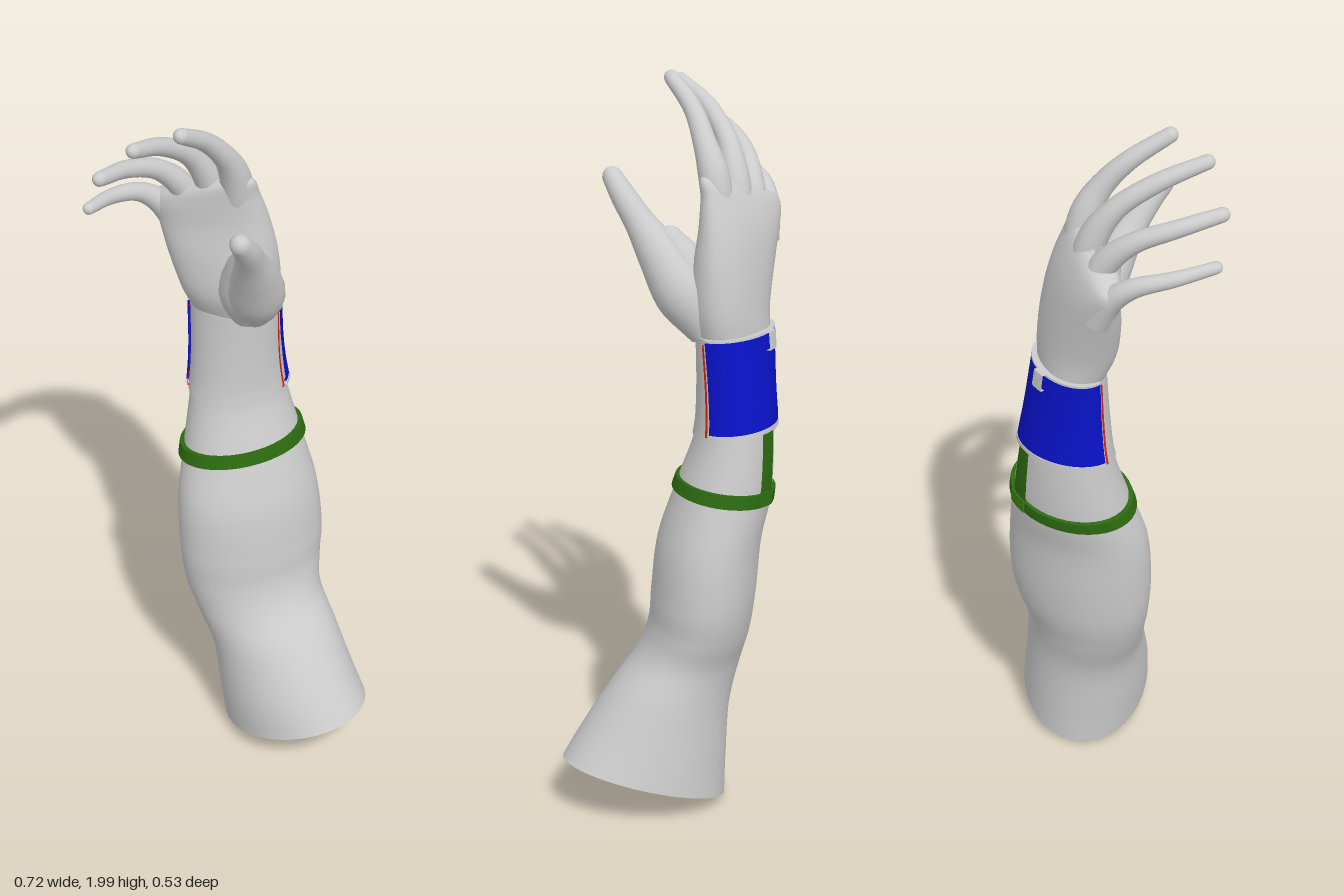
import * as THREE from 'three';
import { toCreasedNormals } from 'three/addons/utils/BufferGeometryUtils.js';

const V = (x, y, z) => new THREE.Vector3(x, y, z);
const paint = (color) => new THREE.MeshStandardMaterial({ color, side: THREE.DoubleSide });
const grey = paint(0xcccccc), blue = paint(0x0a12c8), green = paint(0x2c6a10), red = paint(0xd82010);
const DEG = Math.PI / 180;

// Skin a list of point rows; closed rows wrap round.
function loft(rows, closed = true) {
  const n = rows[0].length, index = [];
  for (let j = 0; j < rows.length - 1; j++) {
    for (let i = 0; i < (closed ? n : n - 1); i++) {
      const a = j * n + i, b = j * n + (i + 1) % n;
      index.push(a, a + n, b, b, a + n, b + n);
    }
  }
  const g = new THREE.BufferGeometry().setFromPoints(rows.flat());
  g.setIndex(index);
  g.computeVertexNormals();
  return g;
}

// Superelliptic section around centre c with half axes u and v.
function section(c, u, v, offset = 0, a0 = 0, a1 = 360, power = 1, n = 40) {
  const full = a1 - a0 === 360, pts = [];
  const bend = (k) => Math.sign(k) * Math.abs(k) ** power;
  const fu = 1 + offset / u.length(), fv = 1 + offset / v.length();
  for (let i = 0; i < (full ? n : n + 1); i++) {
    const a = (a0 + (a1 - a0) * i / n) * DEG;
    pts.push(c.clone().addScaledVector(u, fu * bend(Math.cos(a))).addScaledVector(v, fv * bend(Math.sin(a))));
  }
  return pts;
}

// Smooth body through keys [xRight, yRight, xLeft, yLeft, zFront, zBack, skew, frontDrop];
// skew turns the oval so that its left side lies further back.
function body(keys) {
  const spline = (f) => new THREE.CatmullRomCurve3(keys.map(f), false, 'catmullrom');
  const c = spline(([x0, y0, x1, y1, f, b]) => V((x0 + x1) / 2, (y0 + y1) / 2, (f + b) / 2));
  const u = spline(([x0, y0, x1, y1, f, b, k]) => V((x1 - x0) / 2, (y1 - y0) / 2, -k * (f - b) / 2));
  const v = spline(([, , , , f, b, k, drop = 0]) => V(0, -drop, Math.sqrt(1 - k * k) * (f - b) / 2));
  const last = keys.length - 1;
  return (s, ...rest) => {
    const t = Math.min(s / last, 1);
    return section(c.getPoint(t), u.getPoint(t), v.getPoint(t), ...rest);
  };
}

const steps = (a, b, n) => Array.from({ length: n + 1 }, (_, i) => a + (b - a) * i / n);

const armAt = body([
  [-0.09, 0.005, 0.355, 0.17, 0.155, -0.215, -0.15],
  [-0.10, 0.12, 0.30, 0.25, 0.145, -0.21, -0.08],
  [-0.12, 0.28, 0.225, 0.36, 0.12, -0.205, 0.05],
  [-0.165, 0.40, 0.155, 0.45, 0.108, -0.212, 0.22],
  [-0.195, 0.50, 0.13, 0.53, 0.11, -0.24, 0.32],
  [-0.21, 0.62, 0.125, 0.62, 0.113, -0.257, 0.34],
  [-0.22, 0.77, 0.105, 0.77, 0.10, -0.257, 0.32],
  [-0.232, 0.895, 0.05, 0.94, 0.05, -0.25, 0.24],
  [-0.23, 1.075, 0.008, 1.075, 0.003, -0.233, 0.2, 0.01],
  [-0.226, 1.2, -0.003, 1.2, -0.012, -0.212, 0.17, 0.01],
  [-0.23, 1.352, 0, 1.352, -0.022, -0.189, 0.15, 0.006],
]);

const handAt = body([
  [-0.225, 1.33, -0.005, 1.33, -0.025, -0.186, 0.15],
  [-0.243, 1.41, 0.01, 1.42, 0.005, -0.182, 0.25],
  [-0.275, 1.51, 0.005, 1.53, 0.008, -0.168, 0.33],
  [-0.302, 1.59, -0.012, 1.63, 0.0, -0.147, 0.38],
  [-0.32, 1.64, -0.028, 1.71, 0.0, -0.12, 0.4],
  [-0.305, 1.67, -0.04, 1.765, -0.01, -0.093, 0.35],
  [-0.22, 1.72, -0.12, 1.755, -0.04, -0.06, 0.2],
]);

// Raised strip on the arm between s0 and s1, over the given angles.
function strip(s0, s1, offset, a0 = 0, a1 = 360) {
  const base = offset - 0.014, rows = [armAt(s0, base, a0, a1)];
  for (const s of steps(s0, s1, 8)) rows.push(armAt(s, offset, a0, a1));
  rows.push(armAt(s1, base, a0, a1));
  return toCreasedNormals(loft(rows, a1 - a0 === 360), 0.7);
}

// Tapering finger with a domed tip, along points [x, y, z, radius].
function finger(points) {
  const path = new THREE.CatmullRomCurve3(points.map((p) => V(...p)), false, 'catmullrom');
  const radii = new THREE.CatmullRomCurve3(points.map((p) => V(p[3], 0, 0)), false, 'catmullrom');
  const rows = [];
  const ring = (c, t, r) => {
    const u = V(1, 0, 0).addScaledVector(t, -t.x).normalize();
    const v = u.clone().cross(t);
    rows.push(section(c, u.multiplyScalar(r), v.multiplyScalar(r), 0, 0, 360, 1, 18));
  };
  for (const t of steps(0, 1, 24)) ring(path.getPoint(t), path.getTangent(t), radii.getPoint(t).x);
  const end = path.getPoint(1), dir = path.getTangent(1), r = points.at(-1)[3];
  for (const a of [25, 50, 70, 88]) {
    ring(end.clone().addScaledVector(dir, r * Math.sin(a * DEG)), dir, r * Math.cos(a * DEG));
  }
  return loft(rows);
}

export function createModel() {
  const model = new THREE.Group();
  const add = (name, geometry, material = grey, parent = model) => {
    const mesh = new THREE.Mesh(geometry, material);
    mesh.name = name;
    parent.add(mesh);
  };

  // Arm, open at the upper end
  add('arm', loft(steps(0, 10, 70).map((s) => armAt(s))));

  // Hand, with the ball of the thumb easing into the palm
  const hand = new THREE.Group();
  hand.name = 'hand';
  model.add(hand);
  add('palm', loft(steps(0, 6, 36).map((s) => handAt(s, 0, 0, 360, 0.88))), grey, hand);
  const fingers = {
    thumbBall: [[-0.06, 1.35, -0.085, 0.055], [-0.045, 1.44, -0.05, 0.072], [-0.02, 1.53, -0.015, 0.056],
      [0.002, 1.59, 0.015, 0.036]],
    thumb: [[-0.04, 1.35, -0.085, 0.045], [-0.003, 1.45, -0.035, 0.075], [0.028, 1.55, 0.025, 0.06],
      [0.052, 1.63, 0.08, 0.041], [0.068, 1.69, 0.125, 0.034], [0.074, 1.738, 0.167, 0.027]],
    indexFinger: [[-0.085, 1.66, -0.08, 0.042], [-0.082, 1.76, -0.06, 0.041], [-0.085, 1.84, -0.018, 0.031],
      [-0.1, 1.915, 0.05, 0.025], [-0.107, 1.978, 0.147, 0.02]],
    middleFinger: [[-0.15, 1.65, -0.075, 0.042], [-0.16, 1.745, -0.05, 0.038], [-0.178, 1.83, 0.005, 0.028],
      [-0.194, 1.9, 0.105, 0.024], [-0.197, 1.946, 0.222, 0.019]],
    ringFinger: [[-0.21, 1.62, -0.065, 0.04], [-0.23, 1.705, -0.035, 0.035], [-0.262, 1.775, 0.03, 0.027],
      [-0.286, 1.818, 0.13, 0.023], [-0.286, 1.848, 0.243, 0.019]],
    littleFinger: [[-0.26, 1.56, -0.06, 0.036], [-0.29, 1.635, -0.03, 0.033], [-0.322, 1.685, 0.025, 0.025],
      [-0.343, 1.712, 0.115, 0.02], [-0.339, 1.733, 0.22, 0.016]],
  };
  for (const [name, points] of Object.entries(fingers)) add(name, finger(points), grey, hand);

  // Wrist cuff with raised rims, back plate and edge lines
  const cuff = new THREE.Group();
  cuff.name = 'wristCuff';
  model.add(cuff);
  add('cuffShell', strip(8, 10, 0.005), grey, cuff);
  add('backPlate', strip(8.17, 9.95, 0.012, 150, 350), blue, cuff);
  add('lowerRim', strip(8.08, 8.16, 0.013, 150, 350), grey, cuff);
  add('upperRim', strip(9.96, 10, 0.013, 150, 350), grey, cuff);
  for (const [side, a] of [['right', 143], ['left', 354]]) {
    add(side + 'EdgeLine', strip(8.1, 9.9, 0.009, a, a + 4), red, cuff);
  }
  add('cuffTab', strip(9.68, 10, 0.024, 238, 255), grey, cuff);

  // Forearm strap and the ridged connector up to the cuff
  const strap = new THREE.Group();
  strap.name = 'forearmStrap';
  model.add(strap);
  add('strapBand', strip(6.88, 7.1, 0.011), green, strap);
  add('connector', strip(6.95, 8.1, 0.009, 251, 273), green, strap);
  for (const s of steps(6.9, 7.1, 4)) add('connectorRidge', strip(s, s + 0.025, 0.016, 251, 273), green, strap);

  return model;
}
